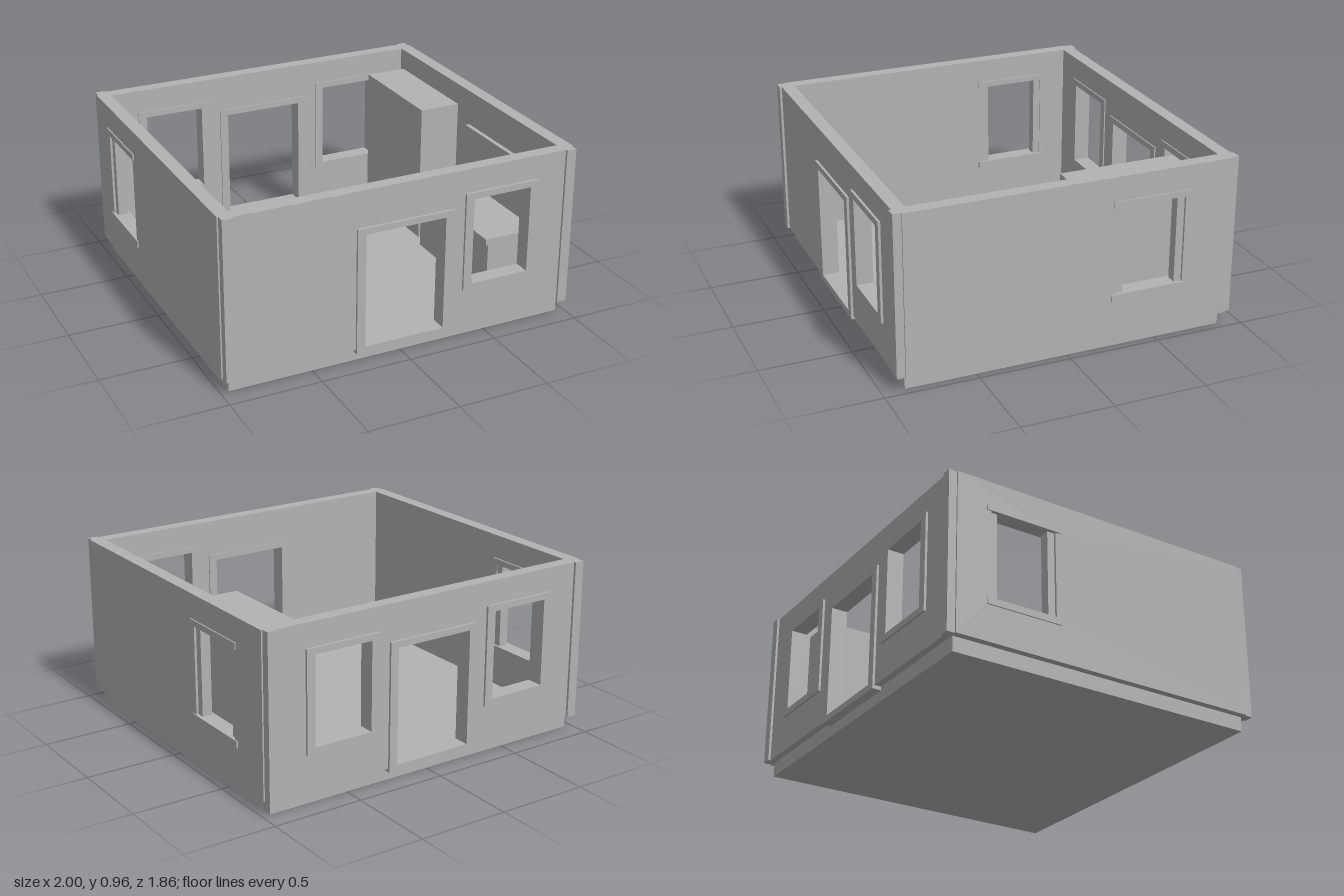
import * as THREE from 'three';

const plaster = new THREE.MeshStandardMaterial({ color: 0xb2b2b2 });
plaster.name = 'plainGrey';

export function createModel() {
  const house = new THREE.Group();
  house.name = 'openRoofHouse';

  const add = (name, geometry, parent = house) => {
    const mesh = new THREE.Mesh(geometry, plaster);
    mesh.name = name;
    parent.add(mesh);
    return mesh;
  };
  // Box given by its low and high limits on each axis
  const box = (name, [x0, x1], [y0, y1], [z0, z1], parent) => {
    const mesh = add(name, new THREE.BoxGeometry(x1 - x0, y1 - y0, z1 - z0), parent);
    mesh.position.set((x0 + x1) / 2, (y0 + y1) / 2, (z0 + z1) / 2);
    return mesh;
  };
  const rect = (PathType, [x0, x1, y0, y1]) =>
    new PathType([[x0, y0], [x1, y0], [x1, y1], [x0, y1]].map(p => new THREE.Vector2(...p)));
  // Upright plate with rectangular holes, from depth z0 to z1
  const plate = (outer, holes, z0, z1) => {
    const shape = rect(THREE.Shape, outer);
    holes.forEach(h => shape.holes.push(rect(THREE.Path, h)));
    return new THREE.ExtrudeGeometry(shape, { depth: z1 - z0, bevelEnabled: false }).translate(0, 0, z0);
  };

  // Foundation slab
  box('foundation', [-0.955, 0.955], [0, 0.08], [-0.88, 0.88]);

  // Front and back walls with framed openings
  const wallBottom = 0.08, wallTop = 0.96;
  const door = [-0.225, 0.225, 0.095, 0.725];
  const rightWindow = [0.387, 0.72, 0.315, 0.795];
  const leftWindow = [-0.72, -0.387, 0.315, 0.795];
  const grow = ([a, b, c, d], u, v) => [a - u, b + u, c - v, d + v];

  const endWall = (name, openings, side) => {
    const group = new THREE.Group();
    group.name = name;
    house.add(group);
    const span = (a, b) => (side > 0 ? [a, b] : [-b, -a]);
    add(name + 'Panel', plate([-0.93, 0.93, wallBottom, wallTop],
      openings.map(o => grow(o, 0.01, 0.008)), ...span(0.845, 0.917)), group);
    openings.forEach(o => add(o === door ? 'doorFrame' : 'windowFrame',
      plate(grow(o, 0.047, 0.035), [o], ...span(0.838, 0.93)), group));
  };
  endWall('frontWall', [door, rightWindow], 1);
  endWall('backWall', [leftWindow, door, rightWindow], -1);

  // Side walls, each with one window
  const sideWall = (name, side, zMid) => {
    const group = new THREE.Group();
    group.name = name;
    house.add(group);
    const span = (a, b) => (side > 0 ? [a, b] : [-b, -a]);
    const panel = plate([-0.885, 0.885, wallBottom, wallTop],
      [[-zMid - 0.19, -zMid + 0.19, 0.315, 0.795]], ...span(0.92, 0.993));
    add(name + 'Panel', panel.rotateY(Math.PI / 2), group);
    const frameZ = [zMid - 0.215, zMid + 0.215];
    box('windowHeader', span(0.91, 1), [0.795, 0.828], frameZ, group);
    box('windowSill', span(0.91, 1), [0.278, 0.315], frameZ, group);
    for (const s of [-1, 1]) {
      const mid = zMid + s * 0.17;
      box('windowJamb', span(0.925, 0.98), [0.315, 0.795], [mid - 0.021, mid + 0.021], group);
    }
  };
  sideWall('leftWall', 1, -0.44);
  sideWall('rightWall', -1, -0.5);

  // Corner posts
  for (const sx of [-1, 1]) {
    for (const sz of [-1, 1]) {
      const post = box('cornerPost', [-0.0275, 0.0275], [wallBottom, wallTop], [-0.0425, 0.0425]);
      post.position.x = sx * 0.9575;
      post.position.z = sz * 0.8875;
    }
  }

  // Kitchen furniture along the left wall
  box('tallCabinet', [0.645, 0.88], [0.08, 0.87], [-0.74, -0.09]);
  box('counterBase', [0.605, 0.905], [0.08, 0.415], [0, 0.73]);
  box('countertop', [0.575, 0.92], [0.415, 0.45], [-0.035, 0.757]);
  box('backsplash', [0.88, 0.905], [0.45, 0.775], [0, 0.73]);

  return house;
}
